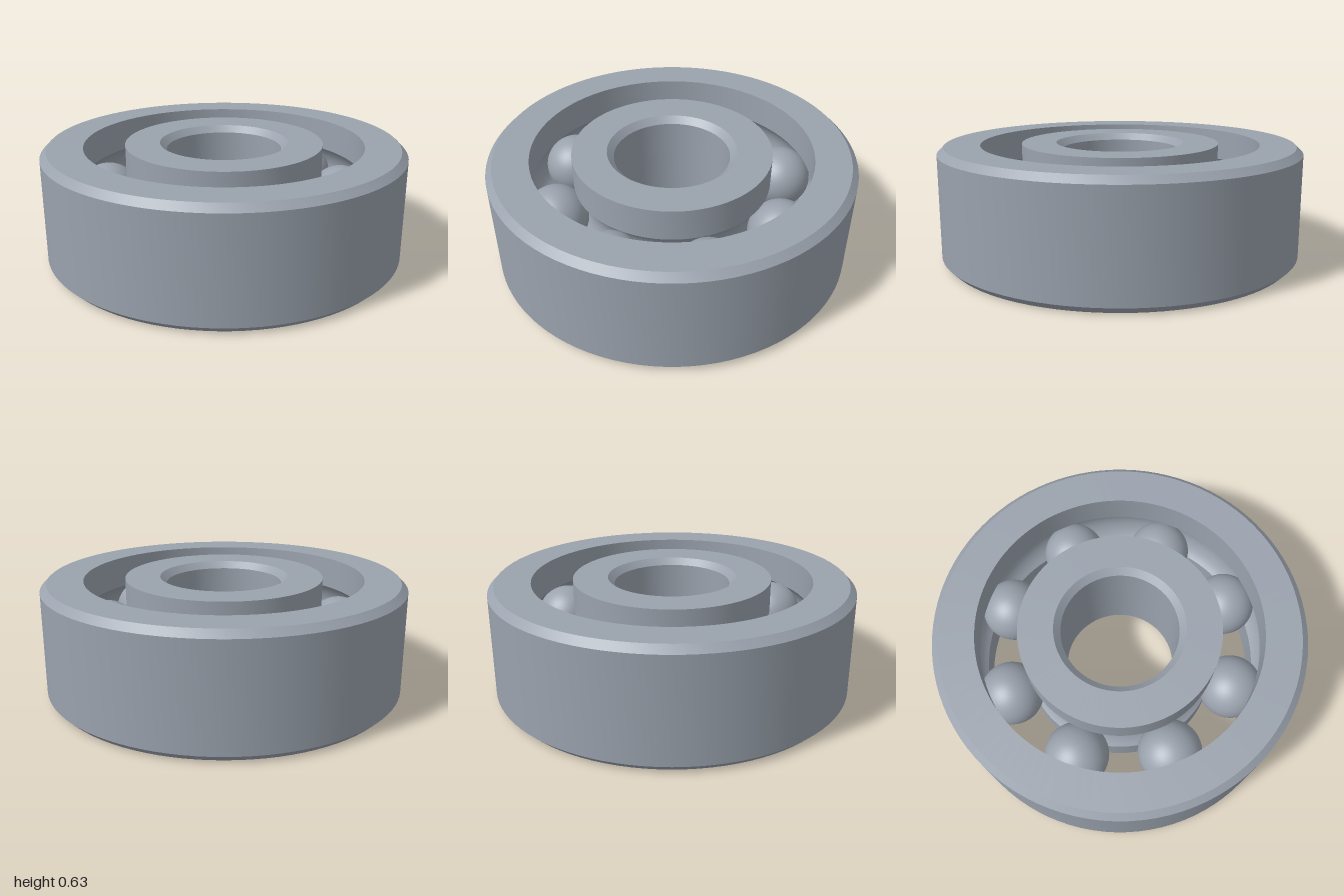
import * as THREE from 'three';
import { toCreasedNormals } from 'three/addons/utils/BufferGeometryUtils.js';

const HEIGHT = 0.63, CHAMFER = 0.036;
const OUTER_R = 1, OUTER_LIP = 0.77, INNER_LIP = 0.545, BORE_R = 0.318;
const PITCH_R = (OUTER_LIP + INNER_LIP) / 2, BALL_R = 0.175, BALLS = 8;

// Arc of the ball groove, running between two angles around the ball centre
function groove(from, to, steps = 14) {
  const points = [];
  for (let i = 0; i <= steps; i++) {
    const a = from + ((to - from) * i) / steps;
    points.push([PITCH_R + Math.cos(a) * (BALL_R + 0.002), HEIGHT / 2 + Math.sin(a) * (BALL_R + 0.002)]);
  }
  return points;
}

// Closed profile (anticlockwise) turned around the y axis, with sharp edges kept
function ring(name, profile, material) {
  const points = [...profile, profile[0]].map(([r, y]) => new THREE.Vector2(r, y));
  const geometry = toCreasedNormals(new THREE.LatheGeometry(points, 96), 0.5);
  const mesh = new THREE.Mesh(geometry, material);
  mesh.name = name;
  return mesh;
}

export function createModel() {
  const steel = new THREE.MeshStandardMaterial({ color: 0x9aa2ad });
  steel.name = 'steel';

  const model = new THREE.Group();
  model.name = 'ballBearing';
  const open = Math.acos((OUTER_LIP - PITCH_R) / (BALL_R + 0.002));

  // Outer ring: chamfered outside, grooved inside
  model.add(ring('outerRing', [
    [OUTER_LIP, 0], [OUTER_R - CHAMFER, 0], [OUTER_R, CHAMFER],
    [OUTER_R, HEIGHT - CHAMFER], [OUTER_R - CHAMFER, HEIGHT], [OUTER_LIP, HEIGHT],
    ...groove(open, -open),
  ], steel));

  // Inner ring: grooved outside, chamfered bore
  model.add(ring('innerRing', [
    [BORE_R + CHAMFER, 0], [INNER_LIP, 0],
    ...groove(Math.PI + open, Math.PI - open),
    [INNER_LIP, HEIGHT], [BORE_R + CHAMFER, HEIGHT],
    [BORE_R, HEIGHT - CHAMFER], [BORE_R, CHAMFER],
  ], steel));

  // Balls evenly spaced along the groove
  const balls = new THREE.Group();
  balls.name = 'balls';
  const ballGeometry = new THREE.SphereGeometry(BALL_R, 40, 24);
  for (let i = 0; i < BALLS; i++) {
    const a = 0.206 + (i * Math.PI * 2) / BALLS;
    const ball = new THREE.Mesh(ballGeometry, steel);
    ball.name = 'ball';
    ball.position.set(Math.cos(a) * PITCH_R, HEIGHT / 2, Math.sin(a) * PITCH_R);
    balls.add(ball);
  }
  model.add(balls);
  return model;
}
